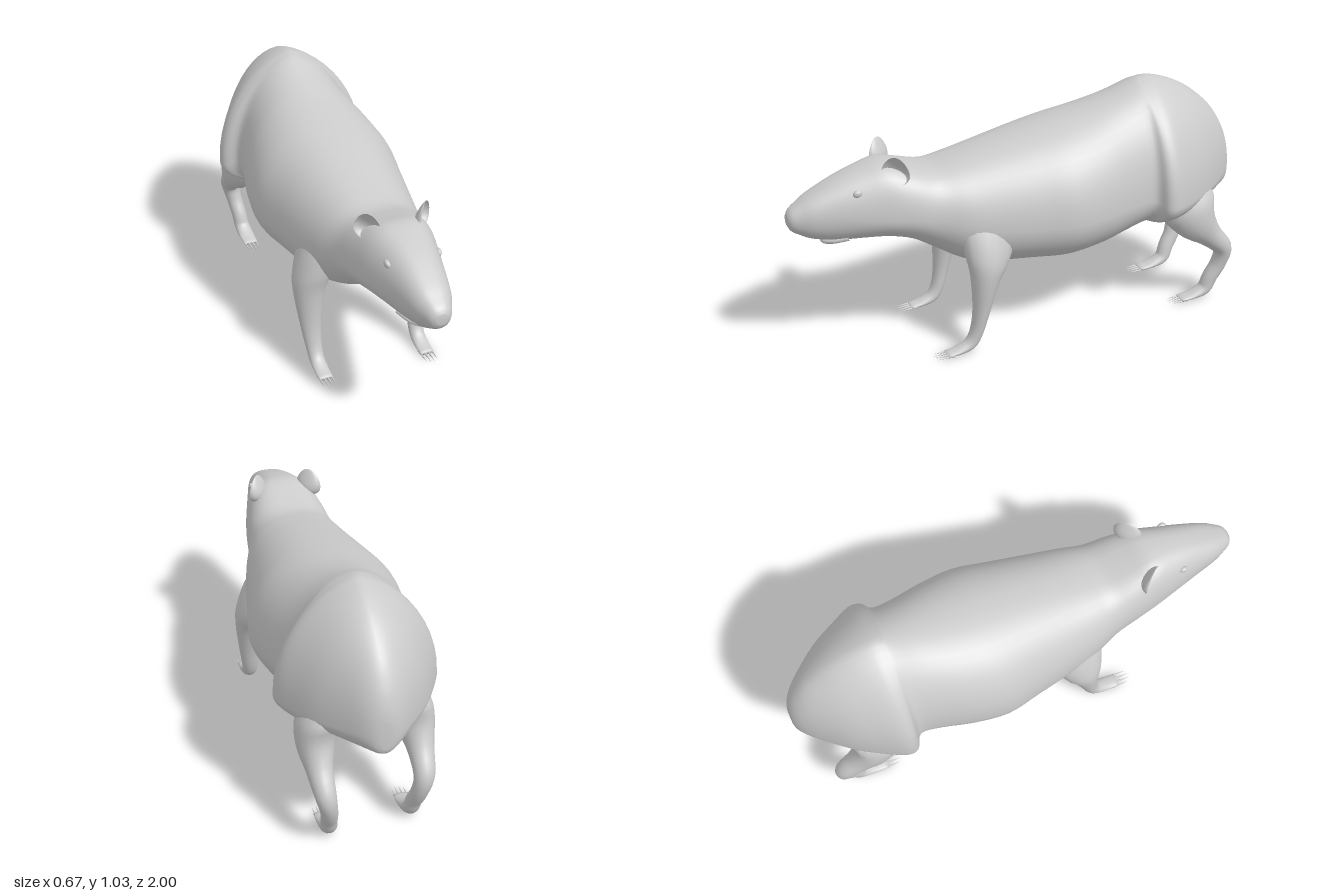
import * as THREE from 'three';

const V = (x, y, z = 0) => new THREE.Vector3(x, y, z);
const mat = new THREE.MeshStandardMaterial({ color: 0xcccccc });
const twoSided = new THREE.MeshStandardMaterial({ color: 0xcccccc, side: THREE.DoubleSide });

// Skin over a list of rings (arrays of points), closed at both ends
function skin(rings) {
  const n = rings[0].length, pos = [], idx = [];
  rings.forEach(r => r.forEach(p => pos.push(p.x, p.y, p.z)));
  for (let i = 0; i < rings.length - 1; i++) {
    for (let j = 0; j < n; j++) {
      const a = i * n + j, b = i * n + (j + 1) % n;
      idx.push(a, a + n, b, b, a + n, b + n);
    }
  }
  [0, rings.length - 1].forEach((k, end) => {
    const c = rings[k].reduce((s, p) => s.add(p), V(0, 0)).divideScalar(n);
    const ci = pos.length / 3;
    pos.push(c.x, c.y, c.z);
    for (let j = 0; j < n; j++) {
      const a = k * n + j, b = k * n + (j + 1) % n;
      if (end) idx.push(ci, b, a); else idx.push(ci, a, b);
    }
  });
  const g = new THREE.BufferGeometry();
  g.setAttribute('position', new THREE.Float32BufferAttribute(pos, 3));
  g.setIndex(idx);
  g.computeVertexNormals();
  return g;
}

const smooth = pts => new THREE.CatmullRomCurve3(pts, false, 'catmullrom', 0.5);

function add(parent, name, geometry, material = mat) {
  const m = new THREE.Mesh(geometry, material);
  m.name = name;
  parent.add(m);
  return m;
}

// Body stations from nose to rump:
// z, top, bottom, half width, height of widest point, back shape (low = boxy, high = peaked)
const BODY = [
  [1.0, 0.66, 0.615, 0.024, 0.64, 0.8], [0.985, 0.682, 0.59, 0.045, 0.64, 0.75],
  [0.95, 0.706, 0.568, 0.064, 0.645, 0.7], [0.9, 0.737, 0.545, 0.086, 0.65, 0.7],
  [0.8, 0.785, 0.525, 0.113, 0.65, 0.75], [0.7, 0.82, 0.522, 0.14, 0.64, 0.75],
  [0.6, 0.838, 0.517, 0.166, 0.63, 0.65], [0.5, 0.812, 0.49, 0.186, 0.62, 0.62],
  [0.4, 0.79, 0.43, 0.202, 0.6, 0.7], [0.3, 0.807, 0.37, 0.235, 0.57, 0.8],
  [0.2, 0.83, 0.338, 0.26, 0.55, 0.85], [0, 0.875, 0.323, 0.3, 0.54, 0.87],
  [-0.15, 0.905, 0.317, 0.328, 0.54, 0.9], [-0.3, 0.935, 0.335, 0.312, 0.55, 0.92],
  [-0.43, 0.975, 0.37, 0.282, 0.56, 1.0], [-0.525, 1.015, 0.4, 0.272, 0.56, 1.08],
  [-0.56, 1.027, 0.405, 0.325, 0.54, 1.32], [-0.61, 1.03, 0.41, 0.332, 0.54, 1.34],
  [-0.7, 1.005, 0.425, 0.288, 0.54, 1.28], [-0.8, 0.95, 0.455, 0.23, 0.55, 1.2],
  [-0.9, 0.862, 0.47, 0.15, 0.56, 1.1], [-0.96, 0.77, 0.477, 0.095, 0.57, 1.0],
  [-0.99, 0.69, 0.485, 0.055, 0.57, 1.0], [-1.0, 0.63, 0.51, 0.025, 0.57, 1.0],
];

function bodyGeometry() {
  const spine = smooth(BODY.map(s => V(s[0], s[1], s[2])));
  const girth = smooth(BODY.map(s => V(s[3], s[4], s[5])));
  const steps = (BODY.length - 1) * 4, rings = [];
  for (let i = 0; i <= steps; i++) {
    const { x: z, y: top, z: bottom } = spine.getPoint(i / steps);
    const { x: w, y: mid, z: shape } = girth.getPoint(i / steps);
    rings.push(Array.from({ length: 48 }, (_, j) => {
      const a = j / 48 * Math.PI * 2, c = Math.cos(a), s = Math.sin(a);
      const power = s > 0 ? shape : 0.9;
      return V(Math.sign(c) * Math.abs(c) ** power * w, mid + s * (s > 0 ? top - mid : mid - bottom), z);
    }));
  }
  return skin(rings);
}

// Limb stations: x, y, z, half width, half thickness
const FORE_LEG = [
  [0.13, 0.68, 0.2, 0.06, 0.1], [0.175, 0.55, 0.2, 0.08, 0.125],
  [0.216, 0.43, 0.222, 0.082, 0.098], [0.237, 0.34, 0.24, 0.066, 0.063],
  [0.24, 0.2, 0.26, 0.046, 0.037], [0.235, 0.1, 0.28, 0.036, 0.028],
  [0.232, 0.045, 0.308, 0.032, 0.026], [0.232, 0.022, 0.36, 0.032, 0.016],
  [0.232, 0.014, 0.415, 0.03, 0.008],
];
const HIND_LEG = [
  [0.13, 0.62, -0.68, 0.08, 0.1], [0.18, 0.5, -0.7, 0.095, 0.13],
  [0.205, 0.41, -0.74, 0.08, 0.098], [0.21, 0.33, -0.81, 0.055, 0.058],
  [0.205, 0.25, -0.885, 0.043, 0.042], [0.19, 0.17, -0.88, 0.036, 0.036],
  [0.18, 0.1, -0.845, 0.034, 0.034], [0.175, 0.045, -0.82, 0.034, 0.03],
  [0.173, 0.022, -0.76, 0.035, 0.016], [0.173, 0.014, -0.7, 0.032, 0.008],
];

function limbGeometry(stations, side, shift) {
  const path = smooth(stations.map(s => V(s[0] * side, s[1], s[2] + shift)));
  const size = smooth(stations.map(s => V(s[3], s[4])));
  const steps = (stations.length - 1) * 4, rings = [];
  for (let i = 0; i <= steps; i++) {
    const c = path.getPoint(i / steps), t = path.getTangent(i / steps), r = size.getPoint(i / steps);
    const across = V(0, -t.z, t.y).normalize();
    rings.push(Array.from({ length: 20 }, (_, j) => {
      const a = j / 20 * Math.PI * 2;
      return c.clone().addScaledVector(across, Math.sin(a) * r.y).add(V(Math.cos(a) * r.x, 0));
    }));
  }
  return skin(rings);
}

function leg(name, stations, side, shift) {
  const g = new THREE.Group();
  g.name = name;
  add(g, 'limb', limbGeometry(stations, side, shift));
  // Four tapering claws fanned over the toe
  const toe = stations[stations.length - 1];
  for (let k = 0; k < 4; k++) {
    const claw = add(g, 'claw', new THREE.ConeGeometry(0.007, 0.08, 8));
    const off = (k - 1.5) * 0.017;
    claw.rotation.x = Math.PI / 2 + 0.06;
    claw.position.set(toe[0] * side + off, 0.011, toe[2] + shift + 0.024 - Math.abs(k - 1.5) * 0.008);
  }
  return g;
}

// Cupped ear opening to +z: a shallow bowl with a narrowed tip and a broad base
function earGeometry() {
  const g = new THREE.SphereGeometry(1, 28, 12, 0, Math.PI * 2, 0, Math.PI / 2).rotateX(-Math.PI / 2);
  const p = g.attributes.position;
  for (let i = 0; i < p.count; i++) {
    const y = p.getY(i);
    p.setX(i, p.getX(i) * (1 - 0.2 * y));
    p.setZ(i, p.getZ(i) * (1 - 0.6 * y));
  }
  g.computeVertexNormals();
  return g;
}

export function createModel() {
  const model = new THREE.Group();
  model.name = 'rodent';
  add(model, 'body', bodyGeometry());

  // Lower lip curving round under the snout
  const lip = smooth([V(-0.076, 0.548, 0.765), V(-0.045, 0.532, 0.825), V(0, 0.524, 0.855),
    V(0.045, 0.532, 0.825), V(0.076, 0.548, 0.765)]);
  add(model, 'lowerLip', new THREE.TubeGeometry(lip, 32, 0.011, 10));

  for (const side of [1, -1]) {
    const label = side > 0 ? 'left' : 'right';
    model.add(leg(label + 'ForeLeg', FORE_LEG, side, 0));
    model.add(leg(label + 'HindLeg', HIND_LEG, side, -0.015 * side));

    const ear = add(model, label + 'Ear', earGeometry(), twoSided);
    ear.scale.set(0.06, 0.06, 0.035);
    ear.rotation.y = side * 0.85;
    ear.position.set(side * 0.121, 0.825, 0.575);

    const eye = add(model, label + 'Eye', new THREE.SphereGeometry(1, 20, 14));
    eye.scale.set(0.013, 0.018, 0.02);
    eye.rotation.z = side * -0.35;
    eye.position.set(side * 0.106, 0.748, 0.73);
  }
  return model;
}
